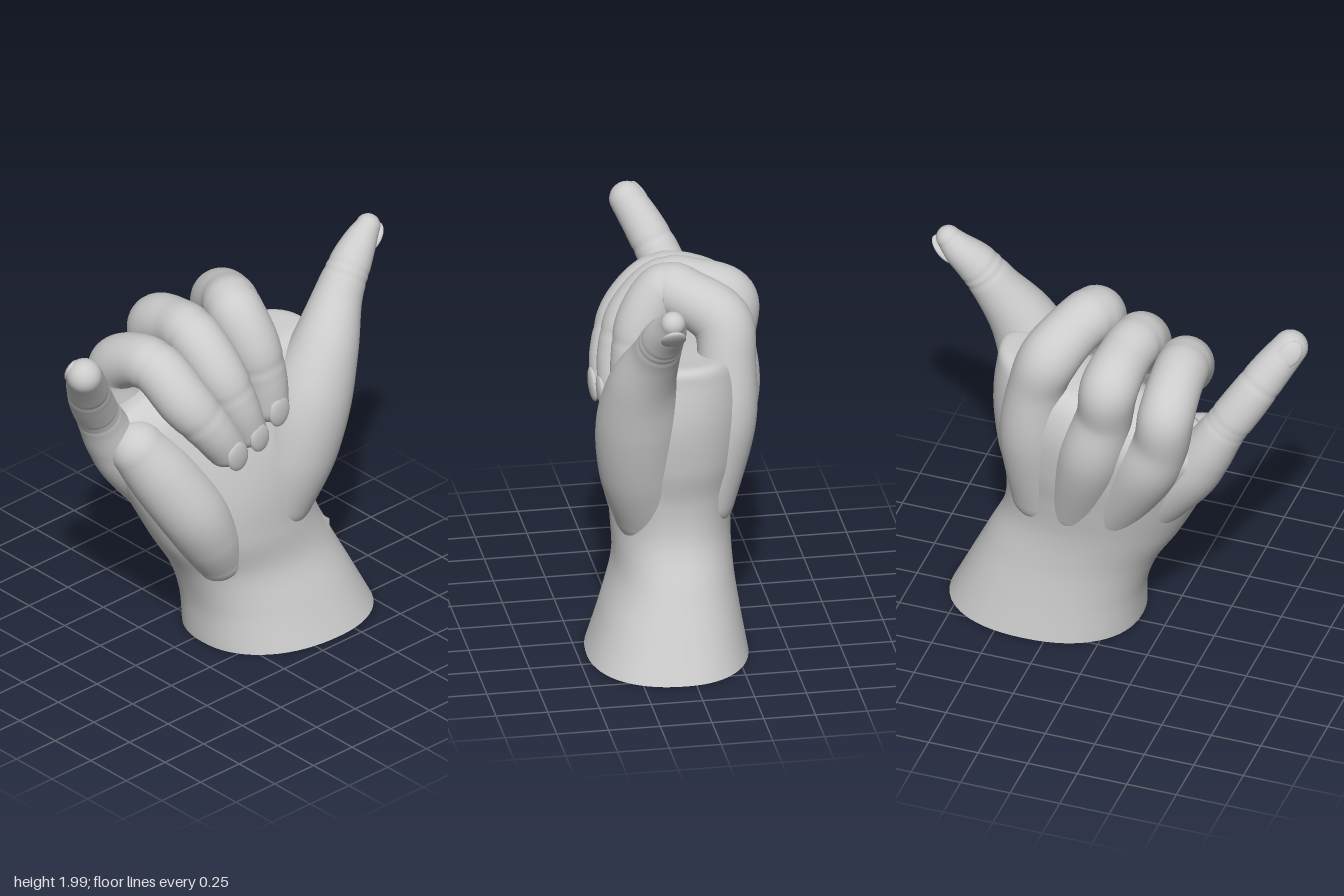
import * as THREE from 'three';

const material = new THREE.MeshStandardMaterial({ color: 0xcccccc, roughness: 0.8 });
const SIDES = 40;

// Uniform Catmull-Rom through rows of numbers, u in 0..1
function spline(rows, u) {
  const n = rows.length - 1;
  const i = Math.min(Math.floor(u * n), n - 1);
  const t = u * n - i;
  const at = (k) => rows[Math.max(0, Math.min(n, k))];
  return rows[0].map((_, c) => {
    const [a, b, d, e] = [at(i - 1)[c], at(i)[c], at(i + 1)[c], at(i + 2)[c]];
    return b + 0.5 * t * (d - a + t * (2 * a - 5 * b + 4 * d - e + t * (3 * (b - d) + e - a)));
  });
}

// Skin a stack of closed rings of Vector3
function skin(name, rings) {
  const n = rings[0].length;
  const index = [];
  for (let i = 0; i < rings.length - 1; i++) {
    for (let j = 0; j < n; j++) {
      const a = i * n + j, b = i * n + (j + 1) % n;
      index.push(a, b, a + n, b, b + n, a + n);
    }
  }
  const geometry = new THREE.BufferGeometry().setFromPoints(rings.flat());
  geometry.setIndex(index);
  geometry.computeVertexNormals();
  const mesh = new THREE.Mesh(geometry, material);
  mesh.name = name;
  return mesh;
}

// Round limb through [x, y, z, radius] points, domed at both ends, with shallow skin creases
function limb(name, points, creases = []) {
  const steps = 90, dome = 8;
  const stations = [];
  for (let i = 0; i <= steps; i++) {
    const u = i / steps;
    const [x, y, z, r] = spline(points, u);
    let dip = 0;
    for (const c of creases) dip += 0.035 * Math.exp(-(((u - c) / 0.012) ** 2));
    stations.push({ p: new THREE.Vector3(x, y, z), r: r * (1 - dip) });
  }
  stations.forEach((s, i) => {
    const a = stations[Math.max(0, i - 1)].p, b = stations[Math.min(steps, i + 1)].p;
    s.t = b.clone().sub(a).normalize();
  });
  const cap = (s, sign) => Array.from({ length: dome }, (_, k) => {
    const a = ((k + 1) / dome) * Math.PI / 2;
    return { p: s.p.clone().addScaledVector(s.t, sign * s.r * Math.sin(a)), r: s.r * Math.cos(a), t: s.t };
  });
  const all = [...cap(stations[0], -1).reverse(), ...stations, ...cap(stations[steps], 1)];
  const normal = new THREE.Vector3(0, 0, 1);
  const rings = all.map(({ p, r, t }) => {
    normal.addScaledVector(t, -normal.dot(t)).normalize();
    const side = t.clone().cross(normal);
    return Array.from({ length: SIDES }, (_, j) => {
      const a = (j / SIDES) * Math.PI * 2;
      return p.clone().addScaledVector(normal, r * Math.cos(a)).addScaledVector(side, r * Math.sin(a));
    });
  });
  return skin(name, rings);
}

// Slightly domed nail lying on a fingertip
function nail(name, position, facing, along, width, length) {
  const z = new THREE.Vector3(...facing).normalize();
  const y = new THREE.Vector3(...along);
  y.addScaledVector(z, -y.dot(z)).normalize();
  const mesh = new THREE.Mesh(new THREE.SphereGeometry(1, 24, 16), material);
  mesh.name = name;
  mesh.quaternion.setFromRotationMatrix(new THREE.Matrix4().makeBasis(y.clone().cross(z), y, z));
  mesh.scale.set(width, length, 0.022);
  mesh.position.set(...position);
  return mesh;
}

// Wrist and palm: y, right x, left x, back z, front z (right, left), edge z (right, left), tilt
const PALM = [
  [0, -0.12, 0.83, -0.32, 0.43, 0.48, 0.05, 0.05, 0],
  [0.2, -0.14, 0.735, -0.29, 0.35, 0.4, 0.02, 0.04, 0],
  [0.4, -0.21, 0.64, -0.27, 0.28, 0.32, 0.01, 0.03, 0],
  [0.6, -0.33, 0.55, -0.275, 0.27, 0.31, 0, 0.02, 0],
  [0.8, -0.43, 0.54, -0.31, 0.22, 0.33, -0.03, 0.02, 0],
  [1.0, -0.52, 0.58, -0.35, 0.14, 0.33, -0.08, 0.02, 0],
  [1.2, -0.6, 0.6, -0.37, 0.04, 0.3, -0.12, 0.02, 0.05],
  [1.34, -0.55, 0.58, -0.34, 0, 0.26, -0.13, 0, 0.15],
  [1.42, -0.45, 0.55, -0.28, -0.05, 0.18, -0.12, 0, 0.18],
  [1.45, -0.2, 0.4, -0.2, -0.06, 0.08, -0.1, -0.03, 0.15],
  [1.46, 0.08, 0.1, -0.08, -0.07, -0.07, -0.075, -0.075, 0.15],
];

function palmRing(u) {
  const [y, x0, x1, back, f0, f1, m0, m1, tilt] = spline(PALM, u);
  const round = (v) => Math.sign(v) * Math.abs(v) ** 0.9;
  return Array.from({ length: 64 }, (_, j) => {
    const a = (j / 64) * Math.PI * 2;
    const across = round(Math.sin(a)), depth = round(Math.cos(a));
    const t = (across + 1) / 2;
    const x = x0 + (x1 - x0) * t;
    const mid = m0 + (m1 - m0) * t;
    const edge = depth > 0 ? f0 + (f1 - f0) * t : back;
    return new THREE.Vector3(x, y + tilt * x, mid + Math.abs(depth) * (edge - mid));
  });
}

export function createModel() {
  const hand = new THREE.Group();
  hand.name = 'hand';

  const rings = Array.from({ length: 101 }, (_, i) => palmRing(i / 100));
  hand.add(skin('wristAndPalm', rings));

  // Flat cut end with a square socket
  const h = 0.145, sx = 0.39, sz = 0.09, depth = 0.5;
  const outline = new THREE.Shape(rings[0].map((p) => new THREE.Vector2(p.x, p.z)));
  outline.holes.push(new THREE.Path([[-h, -h], [h, -h], [h, h], [-h, h]].map(([x, z]) => new THREE.Vector2(sx + x, sz + z))));
  const base = new THREE.Mesh(new THREE.ShapeGeometry(outline).rotateX(Math.PI / 2), material);
  base.name = 'wristBase';
  const inside = material.clone();
  inside.side = THREE.BackSide;
  const socket = new THREE.Mesh(new THREE.BoxGeometry(2 * h, depth, 2 * h), inside);
  socket.name = 'baseSocket';
  socket.position.set(sx, depth / 2, sz);
  hand.add(base, socket);

  // Curled fingers, from the back of the hand over the knuckles to the tip
  hand.add(limb('indexFinger', [
    [0.33, 0.75, -0.13, 0.14], [0.34, 1.15, -0.21, 0.16], [0.31, 1.45, -0.235, 0.14], [0.25, 1.63, -0.22, 0.145],
    [0.17, 1.725, -0.08, 0.135], [0.11, 1.745, 0.03, 0.135], [0.125, 1.6, 0.14, 0.128],
    [0.155, 1.42, 0.185, 0.113], [0.17, 1.285, 0.2, 0.1],
  ], [0.6, 0.82]));
  hand.add(limb('middleFinger', [
    [0.14, 0.75, -0.16, 0.14], [0.02, 1.15, -0.28, 0.16], [-0.05, 1.4, -0.3, 0.135], [-0.08, 1.59, -0.31, 0.14],
    [-0.1, 1.665, -0.15, 0.13], [-0.12, 1.67, 0, 0.13], [-0.1, 1.53, 0.15, 0.125],
    [-0.05, 1.36, 0.22, 0.107], [0, 1.22, 0.24, 0.092],
  ], [0.6, 0.82]));
  hand.add(limb('ringFinger', [
    [-0.02, 0.7, -0.14, 0.13], [-0.24, 1.1, -0.25, 0.155], [-0.33, 1.3, -0.285, 0.135], [-0.36, 1.48, -0.29, 0.135],
    [-0.36, 1.575, -0.15, 0.13], [-0.35, 1.58, 0, 0.13], [-0.31, 1.45, 0.14, 0.13],
    [-0.22, 1.3, 0.22, 0.113], [-0.15, 1.185, 0.245, 0.1],
  ], [0.6, 0.82]));

  // Extended little finger and thumb
  hand.add(limb('littleFinger', [
    [-0.15, 0.7, -0.08, 0.13], [-0.4, 1.03, -0.14, 0.145], [-0.51, 1.2, -0.16, 0.13], [-0.6, 1.36, -0.15, 0.11],
    [-0.7, 1.52, -0.1, 0.106], [-0.79, 1.665, -0.03, 0.098], [-0.87, 1.78, 0.04, 0.085],
  ], [0.52, 0.55, 0.76]));
  hand.add(limb('thumb', [
    [0.3, 0.7, 0.14, 0.17], [0.36, 0.95, 0.19, 0.2], [0.43, 1.22, 0.21, 0.205], [0.53, 1.46, 0.21, 0.165],
    [0.65, 1.66, 0.17, 0.12], [0.745, 1.79, 0.15, 0.103], [0.83, 1.875, 0.13, 0.082], [0.885, 1.935, 0.125, 0.06],
  ], [0.66, 0.7]));

  // Soft pad on the little-finger side of the palm
  hand.add(limb('palmPad', [
    [-0.08, 0.5, 0.12, 0.13], [-0.16, 0.65, 0.13, 0.155], [-0.25, 0.82, 0.11, 0.17],
    [-0.36, 1.02, 0.03, 0.165], [-0.45, 1.17, -0.04, 0.14],
  ]));

  // Nails
  hand.add(nail('indexNail', [0.165, 1.27, 0.286], [0, -0.05, 1], [0.1, -1, 0], 0.062, 0.085));
  hand.add(nail('middleNail', [0.008, 1.2, 0.318], [0.05, -0.05, 1], [0.3, -1, 0], 0.06, 0.08));
  hand.add(nail('ringNail', [-0.145, 1.165, 0.331], [0.05, -0.05, 1], [0.4, -1, 0], 0.064, 0.085));
  hand.add(nail('littleNail', [-0.885, 1.785, -0.03], [-0.35, 0.4, -1], [-0.5, 0.65, 0.45], 0.055, 0.08));
  hand.add(nail('thumbNail', [0.905, 1.86, 0.125], [0.72, -0.69, 0], [0.69, 0.72, 0], 0.06, 0.085));

  return hand;
}
